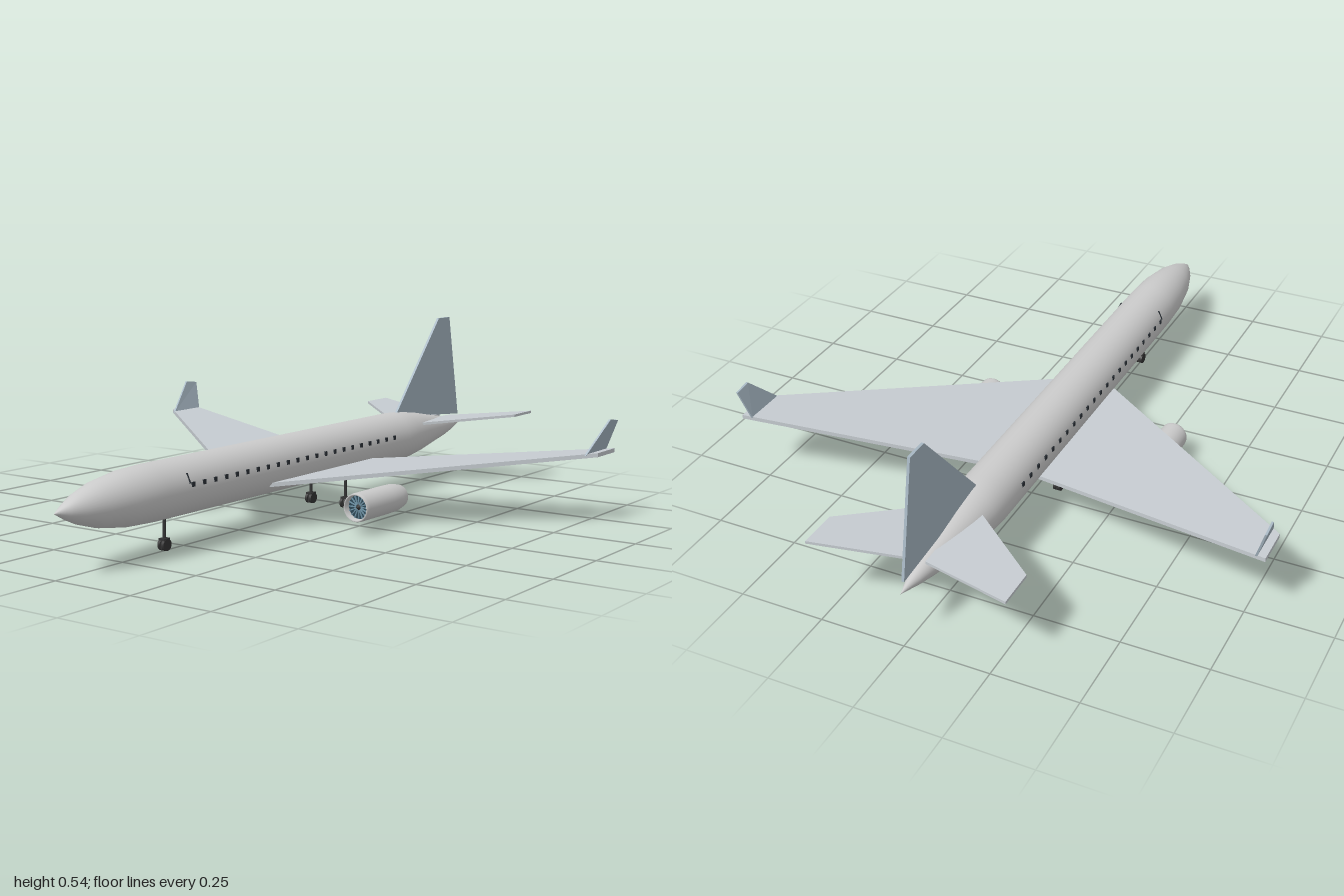
import * as THREE from 'three';

const mat = (color, side = THREE.FrontSide) => new THREE.MeshStandardMaterial({ color, side });
const grey = mat(0xcccccc);
const greyOpen = mat(0xcccccc, THREE.DoubleSide);
const wingPaint = mat(0xc6ccd1);
const finPaint = mat(0xa6b6c2);
const dark = mat(0x333333);
const glass = mat(0x2a3036);
const fanBlue = mat(0x2b4654);
const bladeBlue = mat(0x6f93a6);

function add(parent, name, geometry, material, x = 0, y = 0, z = 0) {
  const mesh = new THREE.Mesh(geometry, material);
  mesh.name = name;
  mesh.position.set(x, y, z);
  parent.add(mesh);
  return mesh;
}

// Thin flat-sided plate: four corners, thickened both ways along t
function plate(corners, t) {
  const p = corners.map((c) => new THREE.Vector3(...c));
  const off = new THREE.Vector3(...t);
  const n = p[1].clone().sub(p[0]).cross(p[2].clone().sub(p[0]));
  if (n.dot(off) < 0) p.reverse();
  const pts = [...p.map((v) => v.clone().add(off)), ...p.map((v) => v.clone().sub(off))];
  const index = [0, 1, 2, 0, 2, 3, 4, 6, 5, 4, 7, 6];
  for (let i = 0; i < 4; i++) {
    const j = (i + 1) % 4;
    index.push(i, i + 4, j + 4, i, j + 4, j);
  }
  const indexed = new THREE.BufferGeometry().setFromPoints(pts);
  indexed.setIndex(index);
  const g = indexed.toNonIndexed();
  g.computeVertexNormals();
  return g;
}

// Lathe lying along z, from [z, radius] pairs
function latheZ(profile, segments = 32) {
  return new THREE.LatheGeometry(profile.map(([z, r]) => new THREE.Vector2(r, z)), segments).rotateX(Math.PI / 2);
}

function addEngine(parent, x) {
  const engine = new THREE.Group();
  engine.name = 'engine';
  engine.position.set(x, 0.077, 0);
  parent.add(engine);
  // Nacelle shell with a rounded lip and inner duct
  add(engine, 'nacelle', latheZ([
    [-0.12, 0.031], [-0.12, 0.034], [-0.085, 0.041], [-0.04, 0.042], [0.095, 0.042],
    [0.106, 0.041], [0.11, 0.0385], [0.106, 0.036], [0.085, 0.035], [-0.1, 0.034], [-0.12, 0.031],
  ]), greyOpen);
  add(engine, 'fanDisc', new THREE.CylinderGeometry(0.035, 0.035, 0.006, 28).rotateX(Math.PI / 2), fanBlue, 0, 0, 0.085);
  const blades = 16;
  for (let i = 0; i < blades; i++) {
    const blade = new THREE.BoxGeometry(0.003, 0.026, 0.004).translate(0, 0.021, 0);
    add(engine, 'fanBlade', blade, bladeBlue, 0, 0, 0.091).rotation.z = (i / blades) * Math.PI * 2;
  }
  add(engine, 'spinner', new THREE.ConeGeometry(0.01, 0.016, 16).rotateX(Math.PI / 2), dark, 0, 0, 0.096);
  add(engine, 'exhaustPlate', new THREE.CylinderGeometry(0.034, 0.034, 0.006, 28).rotateX(Math.PI / 2), dark, 0, 0, -0.09);
}

function addGear(parent, name, x, z) {
  const gear = new THREE.Group();
  gear.name = name;
  gear.position.set(x, 0, z);
  parent.add(gear);
  add(gear, 'strut', new THREE.CylinderGeometry(0.005, 0.005, 0.1, 10), dark, 0, 0.075, 0);
  for (const s of [1, -1]) {
    const wheel = new THREE.CylinderGeometry(0.017, 0.017, 0.008, 16).rotateZ(Math.PI / 2);
    add(gear, 'wheel', wheel, dark, s * 0.007, 0.017, 0);
  }
  add(gear, 'axleBlock', new THREE.BoxGeometry(0.02, 0.03, 0.024), dark, 0, 0.02, 0);
}

export function createModel() {
  const model = new THREE.Group();
  model.name = 'airliner';

  // Fuselage
  add(model, 'fuselage', latheZ([
    [-1, 0], [-0.93, 0.02], [-0.87, 0.034], [-0.78, 0.05], [-0.7, 0.065], [-0.62, 0.076], [-0.55, 0.08],
    [0.65, 0.08], [0.75, 0.076], [0.85, 0.061], [0.92, 0.04], [0.96, 0.022], [1, 0],
  ], 40), grey, 0, 0.17, 0);

  // Tail fin
  add(model, 'tailFin', plate(
    [[0, 0.235, -0.58], [0, 0.54, -0.85], [0, 0.54, -0.92], [0, 0.2, -0.985]], [0.004, 0, 0]), finPaint);

  for (const s of [1, -1]) {
    // Swept wing with upturned tip
    add(model, 'wing', plate([
      [s * 0.05, 0.128, 0.205], [s * 0.805, 0.208, -0.41], [s * 0.805, 0.208, -0.525], [s * 0.05, 0.128, -0.333],
    ], [0, 0.006, 0]), wingPaint);
    add(model, 'winglet', plate([
      [s * 0.777, 0.207, -0.385], [s * 0.805, 0.304, -0.485], [s * 0.805, 0.297, -0.537], [s * 0.777, 0.207, -0.518],
    ], [s * 0.003, 0, 0]), finPaint);

    // Tailplane
    add(model, 'tailplane', plate([
      [s * 0.015, 0.202, -0.622], [s * 0.29, 0.229, -0.865], [s * 0.29, 0.229, -0.982], [s * 0.015, 0.202, -0.895],
    ], [0, 0.004, 0]), wingPaint);

    addEngine(model, s * 0.307);
    addGear(model, 'mainGear', s * 0.065, -0.2);

    // Cabin windows and front door edge
    for (let i = 0; i < 22; i++) {
      add(model, 'window', new THREE.BoxGeometry(0.006, 0.013, 0.012), glass, s * 0.0775, 0.187, 0.55 - i * 0.048);
    }
    add(model, 'doorEdge', new THREE.BoxGeometry(0.006, 0.03, 0.003), glass, s * 0.0715, 0.204, 0.562)
      .rotation.z = s * 0.43;
  }

  addGear(model, 'noseGear', 0, 0.58);
  return model;
}
